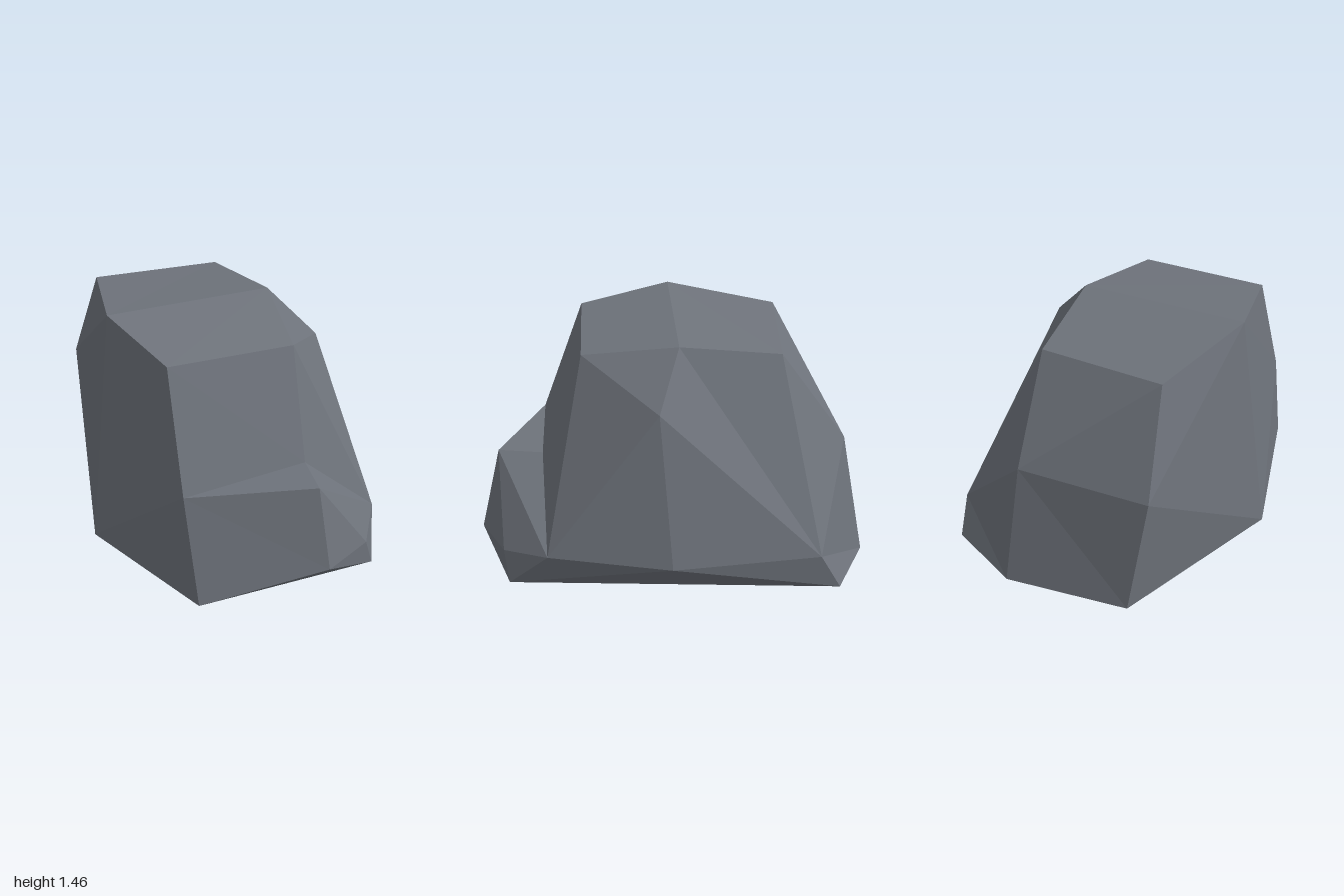
import * as THREE from 'three';

// Corner points of the boulder
const P = {
  // crown
  crownFL: [-0.39, 1.385, 0.575], crownFR: [0.27, 1.35, 0.455],
  ridgeL: [-0.59, 1.46, 0.13], ridgeR: [0.28, 1.42, -0.045],
  crownBL: [-0.54, 1.385, -0.455], crownBR: [0.13, 1.35, -0.55],
  // waist
  shoulder: [0.53, 1.155, 0.02], sideF: [0.69, 0.41, 0.575], sideM: [0.72, 0.40, -0.07],
  sideB: [0.49, 0.40, -0.80], backR: [0.02, 0.86, -0.88], backL: [-0.64, 0.845, -0.68],
  // front ledge
  ledgeL: [-0.37, 0.78, 0.795], ledgeR: [0.28, 0.80, 0.905], ledgeIn: [0.28, 0.80, 0.67],
  noseL: [-0.33, 0.22, 0.935], noseR: [0.32, 0.37, 1.0], cheek: [0.57, 0.37, 0.83],
  // lower rim and foot
  rimL: [-0.72, 0.21, 0.21], rimFR: [0.62, 0.21, 0.795], rimBR: [0.45, 0.21, -0.90],
  rimB: [0.03, 0.21, -1.0], rimBL: [-0.58, 0.20, -0.77], foot: [-0.20, 0, 0.09],
};

// Each facet is a short loop of corner names, cut into a fan of triangles
const FACETS = [
  // top
  'crownFL crownFR ridgeR ridgeL', 'ridgeL ridgeR crownBR crownBL',
  // front wall and ledge
  'ledgeIn ledgeL crownFL crownFR', 'ledgeIn crownFR sideF', 'ledgeL ledgeR ledgeIn',
  'ledgeIn ledgeR sideF', 'ledgeL noseL noseR ledgeR',
  'cheek ledgeR noseR rimFR sideF ledgeR',
  // +x side
  'crownFR ridgeR shoulder', 'crownFR shoulder sideF', 'shoulder sideF sideM',
  'shoulder sideM sideB', 'ridgeR shoulder sideB', 'ridgeR crownBR sideB',
  'rimFR sideF sideM', 'sideM sideB rimBR', 'rimFR sideM rimBR',
  // back
  'crownBL crownBR backR backL', 'crownBR sideB backR', 'backR sideB rimB',
  'sideB rimBR rimB', 'backR rimB rimBL backL',
  // -x side
  'crownBL backL ridgeL', 'backL rimL ridgeL', 'backL rimBL rimL',
  'ledgeL crownFL ridgeL rimL noseL',
  // underside
  'noseL noseR rimFR', 'foot rimL noseL rimFR rimBR rimB rimBL rimL',
];

function facetGeometry() {
  const centre = new THREE.Vector3(0, 0.6, 0);
  const out = [];
  for (const facet of FACETS) {
    const loop = facet.split(' ').map((n) => new THREE.Vector3(...P[n]));
    for (let i = 1; i < loop.length - 1; i++) {
      let [a, b, c] = [loop[0], loop[i], loop[i + 1]];
      // wind every triangle so that it faces away from the core
      const normal = b.clone().sub(a).cross(c.clone().sub(a));
      if (normal.dot(a.clone().sub(centre)) < 0) [b, c] = [c, b];
      for (const p of [a, b, c]) out.push(p.x, p.y, p.z);
    }
  }
  const geometry = new THREE.BufferGeometry();
  geometry.setAttribute('position', new THREE.Float32BufferAttribute(out, 3));
  geometry.computeVertexNormals();
  return geometry;
}

export function createModel() {
  const stone = new THREE.MeshStandardMaterial({ color: 0x6e737b, flatShading: true });
  stone.name = 'slate grey stone';
  const boulder = new THREE.Mesh(facetGeometry(), stone);
  boulder.name = 'boulder';
  const group = new THREE.Group();
  group.name = 'rock';
  group.add(boulder);
  return group;
}
